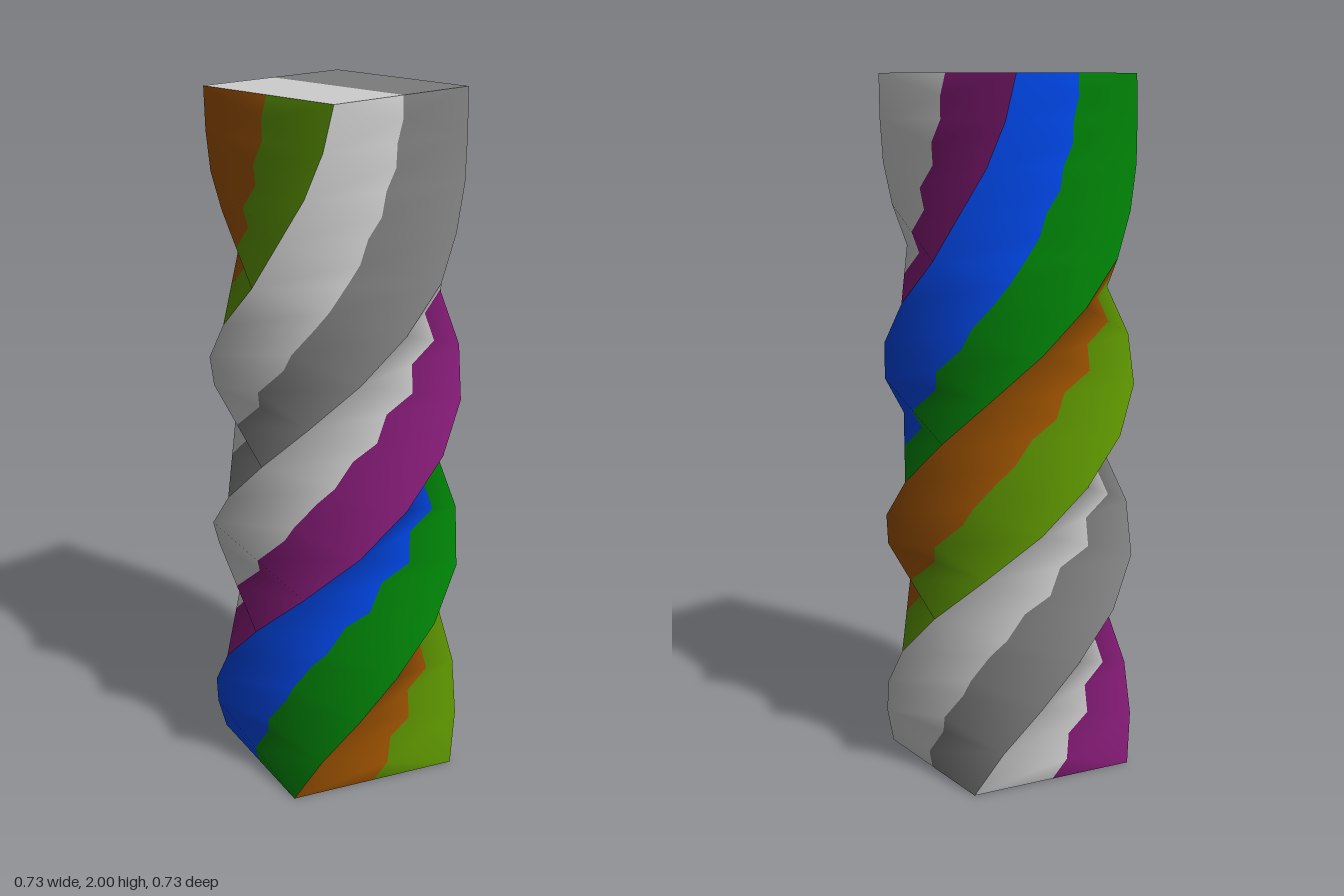
import * as THREE from 'three';

const RADIUS = 0.363;              // centre to corner of the square section
const SIDE = RADIUS * Math.SQRT2;
const HEIGHT = 2;
// Heading of the first corner (degrees) at evenly spaced levels: the twist eases at both ends
const TWIST = [-30, -17, 0, 18.5, 40.5, 65, 90, 112.5, 135, 157.5, 180, 201, 221, 234, 246, 254, 258.5];
const rad = THREE.MathUtils.degToRad;

function material(name, color) {
  const m = new THREE.MeshStandardMaterial({ color });
  m.name = name;
  return m;
}

// One twisted side, folded outwards along the short diagonal of every cell.
// Group 0 is the first half of its width, group 1 the second.
function twistedSide(face) {
  const rows = TWIST.length - 1;
  const positions = [], firstHalf = [], secondHalf = [];
  const corner = (level, turn) => {
    const a = rad(TWIST[level] + turn * 90);
    return new THREE.Vector3(RADIUS * Math.sin(a), HEIGHT * level / rows, RADIUS * Math.cos(a));
  };
  for (let i = 0; i <= rows; i++) {
    // Left corner, edge middle, right corner, then the middle of the diagonal above
    const left = corner(i, face), right = corner(i, face + 1);
    const upperLeft = corner(Math.min(i + 1, rows), face);
    const points = [left, left.clone().lerp(right, 0.5), right, right.clone().lerp(upperLeft, 0.5)];
    points.forEach((p) => positions.push(p.x, p.y, p.z));
    if (i < rows) {
      const [a, m, b, d, c, n, e] = [0, 1, 2, 3, 4, 5, 6].map((k) => i * 4 + k);
      firstHalf.push(a, m, d, a, d, c, c, d, n);
      secondHalf.push(m, b, d, b, e, d, e, n, d);
    }
  }
  const g = new THREE.BufferGeometry();
  g.setAttribute('position', new THREE.Float32BufferAttribute(positions, 3));
  g.setIndex([...firstHalf, ...secondHalf]);
  g.addGroup(0, firstHalf.length, 0);
  g.addGroup(firstHalf.length, secondHalf.length, 1);
  g.computeVertexNormals();
  return g;
}

// Rectangle of an end cap, in fractions of the side (x0..x1, z0..z1)
function capPatch(x0, x1, z0, z1, top) {
  const g = new THREE.PlaneGeometry((x1 - x0) * SIDE, (z1 - z0) * SIDE);
  g.rotateX(top ? -Math.PI / 2 : Math.PI / 2);
  g.translate((x0 + x1) / 2 * SIDE, top ? HEIGHT : 0, (z0 + z1) / 2 * SIDE);
  g.rotateY(rad((top ? TWIST[TWIST.length - 1] : TWIST[0]) + 135));
  return g;
}

export function createModel() {
  const group = new THREE.Group();
  group.name = 'twistedColumn';

  const light = material('lightGrey', 0xcdcdcd);
  const dark = material('darkGrey', 0x7c7c7c);
  const purple = material('purple', 0x801a72);
  const blue = material('blue', 0x0046e6);
  const green = material('green', 0x007e06);
  const orange = material('orange', 0xa05400);
  const olive = material('olive', 0x5a9000);
  const red = material('darkRed', 0xa00018);
  const amber = material('brightOrange', 0xbc6000);

  const add = (name, geometry, mat) => {
    const mesh = new THREE.Mesh(geometry, mat);
    mesh.name = name;
    group.add(mesh);
  };

  // Four twisted sides, each split lengthwise into two colours
  [[orange, olive], [light, dark], [light, purple], [blue, green]].forEach((colours, face) => {
    add(`twistedSide${face + 1}`, twistedSide(face), colours);
  });

  // Top cap in two halves
  add('topLightHalf', capPatch(-0.5, 0, -0.5, 0.5, true), light);
  add('topDarkHalf', capPatch(0, 0.5, -0.5, 0.5, true), dark);

  // Bottom cap: two large panels and a grey strip along one edge
  add('bottomOrangePanel', capPatch(-0.5, 0, -0.5, 0.25, false), amber);
  add('bottomRedPanel', capPatch(0, 0.5, -0.5, 0.25, false), red);
  add('bottomLightStrip', capPatch(-0.5, 0, 0.25, 0.5, false), light);
  add('bottomDarkStrip', capPatch(0, 0.5, 0.25, 0.5, false), dark);

  return group;
}
